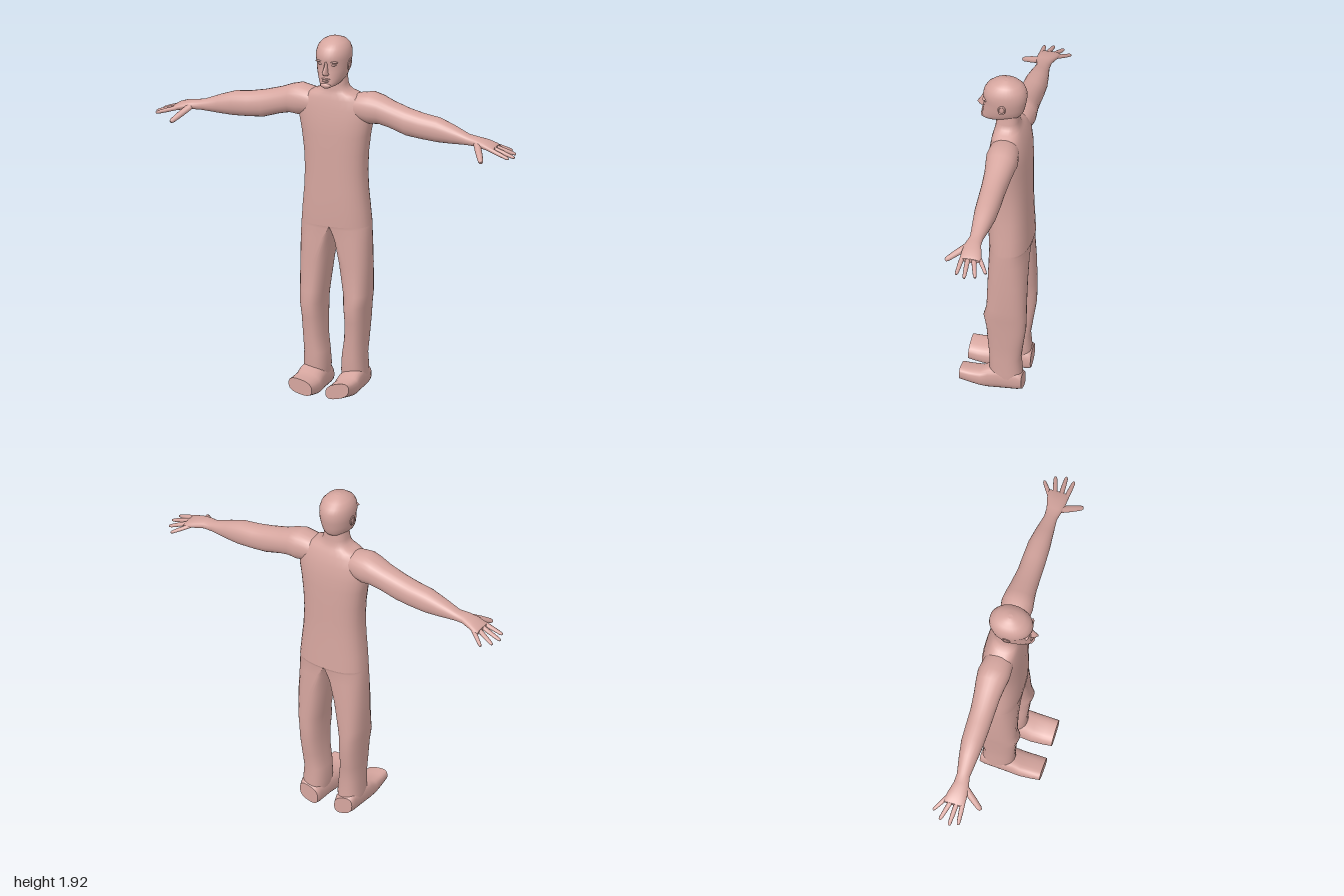
import * as THREE from 'three';

const V = (x, y, z) => new THREE.Vector3(x, y, z);

// Skin over a row of rings; each ring is { c: centre, u, v: half axes, back: share of u on its far side }
// and p squares the section
function loft(rings, p = 2, n = 24) {
  const last = rings[rings.length - 1];
  const path = last.c.clone().sub(rings[0].c);
  const flip = rings[0].u.clone().cross(rings[0].v).dot(path) < 0 ? -1 : 1;
  const pos = [], idx = [];
  const pow = t => Math.sign(t) * Math.abs(t) ** (2 / p);
  const addRing = ({ c, u, v, back = 1 }) => {
    for (let j = 0; j < n; j++) {
      const a = (j / n) * Math.PI * 2, k = flip * pow(Math.cos(a));
      const q = c.clone().addScaledVector(u, k < 0 ? k * back : k).addScaledVector(v, pow(Math.sin(a)));
      pos.push(q.x, q.y, q.z);
    }
  };
  rings.forEach(addRing);
  for (let i = 0; i < rings.length - 1; i++)
    for (let j = 0; j < n; j++) {
      const k = (j + 1) % n, a = i * n + j, b = i * n + k;
      idx.push(a, b, b + n, a, b + n, a + n);
    }
  // closed ends with their own vertices
  [rings[0], last].forEach((r, end) => {
    const s = pos.length / 3;
    addRing(r);
    pos.push(r.c.x, r.c.y, r.c.z);
    for (let j = 0; j < n; j++) {
      const a = s + j, b = s + (j + 1) % n;
      idx.push(s + n, end ? a : b, end ? b : a);
    }
  });
  const g = new THREE.BufferGeometry();
  g.setAttribute('position', new THREE.Float32BufferAttribute(pos, 3));
  g.setIndex(idx);
  g.computeVertexNormals();
  return g;
}

// Rings for upright parts: half width, front y, front z, back y, back z
const upright = (w, yf, zf, yb, zb) => ({
  c: V(0, (yf + yb) / 2, (zf + zb) / 2), u: V(w, 0, 0), v: V(0, (yf - yb) / 2, (zf - zb) / 2),
});
// Rings for legs: y, inner x, outer x, front z, back z, place of the middle (0 makes a flat inner side)
const legRing = (s, [y, a, b, zf, zb, t = 0.5]) => ({
  c: V(s * (a + (b - a) * t), y, (zf + zb) / 2),
  u: V(s * (b - a) * (1 - t), 0, 0), v: V(0, 0, (zf - zb) / 2), back: t / (1 - t),
});
// Rings for arms: x, top y, bottom y, front z, back z
const across = (s, [x, yt, yb, zf, zb]) => ({
  c: V(s * x, (yt + yb) / 2, (zf + zb) / 2), u: V(0, (yt - yb) / 2, 0), v: V(0, 0, (zf - zb) / 2),
});
// Rings for feet, lower on the inner side: z, inner x, outer x, bottom y, top y
const along = (s, [z, x0, x1, yb, yt]) => ({
  c: V(s * (x0 + x1) / 2, (yb + yt) / 2, z), u: V(s * (x1 - x0) / 2, 0.015, 0), v: V(0, (yt - yb) / 2, 0),
});

// Tapered finger between two points
function finger(a, b, r) {
  const d = b.clone().sub(a).normalize();
  const side = d.clone().cross(V(0, 1, 0)).normalize(), up = side.clone().cross(d);
  return loft([[0, 1], [0.5, 0.95], [0.9, 0.75], [1, 0.45]].map(([t, k]) => ({
    c: a.clone().lerp(b, t), u: side.clone().multiplyScalar(r * k), v: up.clone().multiplyScalar(r * k * 0.9),
  })), 2, 10);
}

export function createModel() {
  const model = new THREE.Group();
  model.name = 'figure';
  const skin = new THREE.MeshStandardMaterial({ color: 0xd6a69f });
  skin.name = 'skin';
  const add = (name, geo, parent = model) => {
    const m = new THREE.Mesh(geo, skin);
    m.name = name;
    parent.add(m);
    return m;
  };
  const blob = (name, parent, p, s, rz = 0) => {
    const m = add(name, new THREE.SphereGeometry(1, 16, 10), parent);
    m.position.set(...p);
    m.scale.set(...s);
    m.rotation.z = rz;
  };

  // torso and neck in one: y, half width, front z, back z
  add('torso', loft([
    [0.91, 0.188, 0.046, -0.175], [1.0, 0.18, 0.05, -0.172], [1.1, 0.17, 0.05, -0.168],
    [1.2, 0.166, 0.05, -0.166], [1.3, 0.171, 0.05, -0.166], [1.4, 0.184, 0.05, -0.164],
    [1.47, 0.198, 0.047, -0.16], [1.54, 0.2, 0.04, -0.15], [1.59, 0.18, 0.032, -0.132],
    [1.615, 0.14, 0.026, -0.12], [1.628, 0.1, 0.022, -0.113], [1.645, 0.076, 0.02, -0.107],
    [1.67, 0.066, 0.02, -0.102], [1.73, 0.06, 0.015, -0.1],
  ].map(([y, w, f, b]) => upright(w, y, f, y, b)), 2.5, 32));

  // head, from the jaw to the crown: half width, front y, front z, back y, back z
  const head = new THREE.Group();
  head.name = 'head';
  model.add(head);
  add('skull', loft([
    [0.025, 1.672, 0.092, 1.69, 0.01], [0.05, 1.68, 0.1, 1.698, -0.09], [0.062, 1.7, 0.095, 1.71, -0.112],
    [0.073, 1.725, 0.089, 1.73, -0.124], [0.081, 1.76, 0.086, 1.76, -0.132], [0.086, 1.797, 0.081, 1.797, -0.139],
    [0.089, 1.82, 0.09, 1.82, -0.142], [0.088, 1.85, 0.085, 1.85, -0.14], [0.08, 1.878, 0.07, 1.878, -0.128],
    [0.062, 1.9, 0.043, 1.9, -0.104], [0.036, 1.914, 0.01, 1.914, -0.07], [0.012, 1.92, -0.018, 1.92, -0.042],
  ].map(r => upright(...r)), 2.1, 32), head);
  add('nose', loft([
    [0.013, 1.74, 0.094], [0.018, 1.748, 0.112], [0.014, 1.757, 0.122], [0.009, 1.785, 0.104], [0.007, 1.815, 0.09],
  ].map(([w, y, z]) => upright(w, y, z, y, 0.06)), 2, 14), head);
  blob('upperLip', head, [0, 1.722, 0.086], [0.024, 0.005, 0.011]);
  blob('lowerLip', head, [0, 1.711, 0.087], [0.02, 0.006, 0.011]);
  blob('chin', head, [0, 1.688, 0.088], [0.028, 0.014, 0.014]);

  for (const s of [1, -1]) {
    const side = s > 0 ? 'left' : 'right';
    // face details and ears
    blob(side + 'Eye', head, [s * 0.035, 1.797, 0.067], [0.016, 0.007, 0.01]);
    blob(side + 'Brow', head, [s * 0.037, 1.814, 0.073], [0.027, 0.006, 0.011], -s * 0.08);
    const ear = new THREE.Group();
    ear.name = side + 'Ear';
    ear.position.set(s * 0.083, 1.782, -0.027);
    ear.rotation.set(-0.2, 0, -s * 0.1);
    head.add(ear);
    blob('earLobe', ear, [0, 0, 0], [0.006, 0.028, 0.018]);
    const rim = add('earRim', new THREE.TorusGeometry(0.017, 0.004, 8, 20), ear);
    rim.rotation.y = Math.PI / 2;
    rim.scale.y = 1.5;
    rim.position.x = s * 0.003;

    // arm and palm
    add(side + 'Arm', loft([
      [0.06, 1.6, 1.5, 0.005, -0.11], [0.13, 1.623, 1.48, 0.025, -0.13], [0.2, 1.635, 1.468, 0.028, -0.142],
      [0.25, 1.622, 1.472, 0.02, -0.137], [0.31, 1.598, 1.458, 0.012, -0.128], [0.4, 1.572, 1.428, 0.008, -0.119],
      [0.48, 1.554, 1.42, 0.006, -0.118], [0.57, 1.542, 1.414, 0.002, -0.115], [0.65, 1.514, 1.416, -0.006, -0.102],
      [0.74, 1.477, 1.421, -0.015, -0.084], [0.79, 1.47, 1.422, -0.004, -0.086], [0.84, 1.459, 1.414, 0.003, -0.1],
      [0.88, 1.443, 1.406, 0.004, -0.108], [0.897, 1.432, 1.408, 0, -0.104],
    ].map(r => across(s, r)), 2.2));

    // fingers and thumb: base x, y, z, tip x, y, z, radius
    [
      [0.86, 1.43, -0.01, 0.985, 1.388, 0.0, 0.013],
      [0.87, 1.428, -0.038, 1.0, 1.383, -0.045, 0.013],
      [0.87, 1.428, -0.066, 0.985, 1.384, -0.1, 0.013],
      [0.86, 1.428, -0.09, 0.945, 1.387, -0.148, 0.012],
      [0.8, 1.442, -0.02, 0.868, 1.378, 0.085, 0.019],
    ].forEach(([ax, ay, az, bx, by, bz, r], i) =>
      add(side + (i < 4 ? 'Finger' : 'Thumb'), finger(V(s * ax, ay, az), V(s * bx, by, bz), r)));

    // leg, starting as half of the torso's lower edge
    add(side + 'Leg', loft([
      [0.91, 0, 0.188, 0.046, -0.175, 0], [0.895, 0.002, 0.189, 0.043, -0.168, 0.03],
      [0.83, 0.011, 0.19, 0.041, -0.166, 0.2], [0.7, 0.03, 0.191, 0.04, -0.166, 0.4],
      [0.54, 0.053, 0.188, 0.042, -0.166], [0.48, 0.06, 0.182, 0.058, -0.166], [0.4, 0.062, 0.176, 0.043, -0.163],
      [0.3, 0.06, 0.17, 0.036, -0.148], [0.21, 0.045, 0.165, 0.03, -0.135], [0.13, 0.04, 0.169, 0.03, -0.142],
      [0.07, 0.044, 0.166, 0.02, -0.14],
    ].map(r => legRing(s, r)), 2.5, 32));

    // foot, heel to toe
    add(side + 'Foot', loft([
      [-0.146, 0.05, 0.158, 0.016, 0.11], [-0.12, 0.043, 0.165, 0.011, 0.135], [-0.02, 0.04, 0.17, 0.006, 0.145],
      [0.03, 0.036, 0.172, 0.003, 0.135], [0.07, 0.034, 0.174, 0.008, 0.112], [0.13, 0.035, 0.172, 0.02, 0.108],
      [0.18, 0.038, 0.168, 0.03, 0.11],
    ].map(r => along(s, r)), 2.6));
  }
  return model;
}
